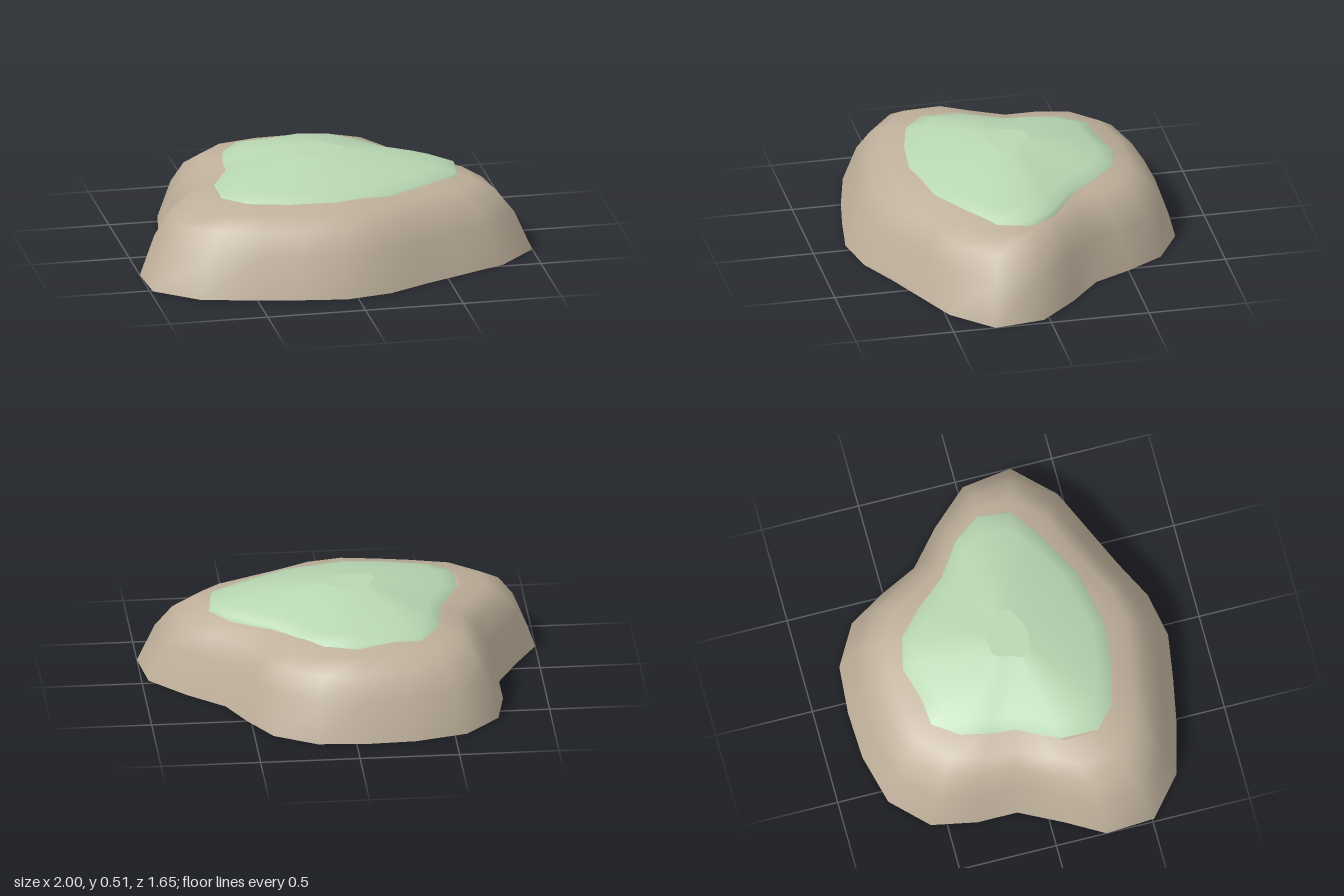
import * as THREE from 'three';

const CENTRE_X = -0.05;

// Lobed ground outline, counter-clockwise seen from above: [x, z]
const rockOutline = [
  [-1, 0.26], [-0.985, 0.51], [-0.78, 0.68], [-0.505, 0.75], [-0.29, 0.79], [-0.055, 0.825],
  [0.175, 0.78], [0.37, 0.68], [0.59, 0.58], [0.81, 0.48], [1, 0.285], [0.965, 0.03],
  [0.79, -0.16], [0.61, -0.315], [0.52, -0.5], [0.405, -0.69], [0.195, -0.81], [-0.055, -0.83],
  [-0.3, -0.82], [-0.56, -0.755], [-0.735, -0.58], [-0.78, -0.35], [-0.78, -0.145], [-0.89, 0.07],
];

// Edge of the grass
const grassOutline = [
  [-0.595, 0.13], [-0.595, 0.32], [-0.485, 0.42], [-0.29, 0.47], [-0.055, 0.497], [0.24, 0.43],
  [0.47, 0.305], [0.63, 0.19], [0.65, 0.02], [0.55, -0.11], [0.38, -0.23], [0.25, -0.39],
  [0.125, -0.5], [-0.035, -0.535], [-0.22, -0.49], [-0.355, -0.475], [-0.45, -0.35],
  [-0.48, -0.21], [-0.49, -0.08],
];

// Profiles from bottom to top: [outline scale, y]
const rockProfile = [[1, 0], [0.917, 0.2], [0.835, 0.31], [0.735, 0.37], [0.59, 0.402]];
const grassProfile = [[1.03, 0.365], [1, 0.402], [0.86, 0.43], [0.56, 0.48], [0.21, 0.515]];

function ring(outline, [scale, y]) {
  return outline.flatMap(([x, z]) => [CENTRE_X + (x - CENTRE_X) * scale, y, z * scale]);
}

function makeGeometry(positions, index) {
  const geometry = new THREE.BufferGeometry();
  geometry.setAttribute('position', new THREE.Float32BufferAttribute(positions, 3));
  geometry.setIndex(index);
  geometry.computeVertexNormals();
  return geometry;
}

// Smooth skin through scaled copies of an outline
function loft(outline, profile) {
  const n = outline.length;
  const index = [];
  for (let i = 0; i < profile.length - 1; i++) {
    for (let j = 0; j < n; j++) {
      const a = i * n + j;
      const b = i * n + ((j + 1) % n);
      index.push(a, b, b + n, a, b + n, a + n);
    }
  }
  return makeGeometry(profile.flatMap((p) => ring(outline, p)), index);
}

// Flat lid over the last ring
function lid(outline, profile) {
  const n = outline.length;
  const top = profile[profile.length - 1];
  const index = [];
  for (let j = 0; j < n; j++) index.push(n, j, (j + 1) % n);
  return makeGeometry([...ring(outline, top), CENTRE_X, top[1], 0], index);
}

export function createModel() {
  const model = new THREE.Group();
  model.name = 'grassyMound';

  const rock = new THREE.MeshStandardMaterial({ color: 0xbfb09b, side: THREE.DoubleSide });
  rock.name = 'rock';
  const grass = new THREE.MeshStandardMaterial({ color: 0xb8d6b2, side: THREE.DoubleSide });
  grass.name = 'grass';

  const addPart = (name, outline, profile, material) => {
    const part = new THREE.Group();
    part.name = name;
    const sides = new THREE.Mesh(loft(outline, profile), material);
    sides.name = name + 'Slope';
    const top = new THREE.Mesh(lid(outline, profile), material);
    top.name = name + 'Top';
    part.add(sides, top);
    model.add(part);
  };

  addPart('rockBase', rockOutline, rockProfile, rock); // hollow, open underneath
  addPart('grassCap', grassOutline, grassProfile, grass); // rim sinks into the rock
  return model;
}
